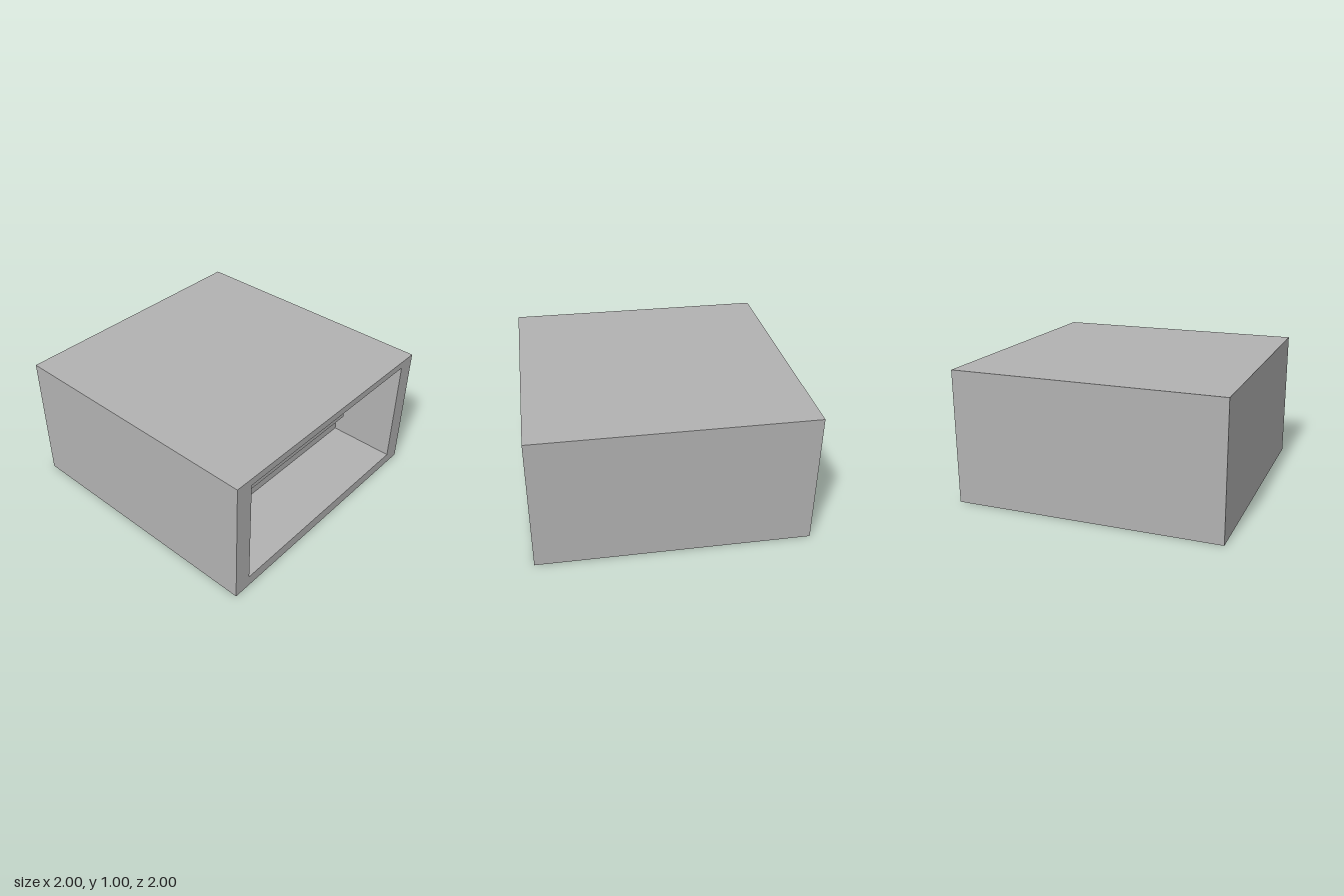
import * as THREE from 'three';

// Box with its +z face left out; inward = true turns the faces to the inside
function openBox(w, h, d, inward) {
  const geo = new THREE.BoxGeometry(w, h, d);
  const index = Array.from(geo.index.array).filter((_, i) => i < 24 || i >= 30);
  if (inward) index.reverse();
  geo.setIndex(index);
  geo.clearGroups();
  geo.computeVertexNormals();
  return geo;
}

function rectangle(PathType, x0, y0, x1, y1) {
  const path = new PathType();
  path.moveTo(x0, y0).lineTo(x1, y0).lineTo(x1, y1).lineTo(x0, y1).closePath();
  return path;
}

export function createModel() {
  const group = new THREE.Group();
  group.name = 'cabinet';
  const grey = new THREE.MeshStandardMaterial({ color: 0xb2b2b2 });
  grey.name = 'grey';

  const add = (name, geo, x, y, z) => {
    const mesh = new THREE.Mesh(geo, grey);
    mesh.name = name;
    mesh.position.set(x, y, z);
    group.add(mesh);
  };

  // Opening in the front and the wall at the back of the recess
  const halfW = 0.865, bottom = 0.085, top = 0.945, backZ = 0.48;

  // Outer casing
  add('casing', openBox(2, 1, 2, false), 0, 0.5, 0);

  // Front frame around the opening
  const frame = rectangle(THREE.Shape, -1, 0, 1, 1);
  frame.holes.push(rectangle(THREE.Path, -halfW, bottom, halfW, top));
  add('frontFrame', new THREE.ShapeGeometry(frame), 0, 0, 1);

  // Walls of the recess
  add('recess', openBox(halfW * 2, top - bottom, 1 - backZ, true),
    0, (top + bottom) / 2, (1 + backZ) / 2);

  // Horizontal bars on the back wall: name, width, bottom, top, depth
  const bars = [
    ['lowerBar', 1.64, 0.285, 0.325, 0.095],
    ['middleBar', 1.64, 0.485, 0.525, 0.095],
    ['upperLedge', halfW * 2, 0.665, 0.74, 0.11],
  ];
  for (const [name, w, y0, y1, d] of bars) {
    add(name, new THREE.BoxGeometry(w, y1 - y0, d), 0, (y0 + y1) / 2, backZ + d / 2);
  }

  return group;
}
